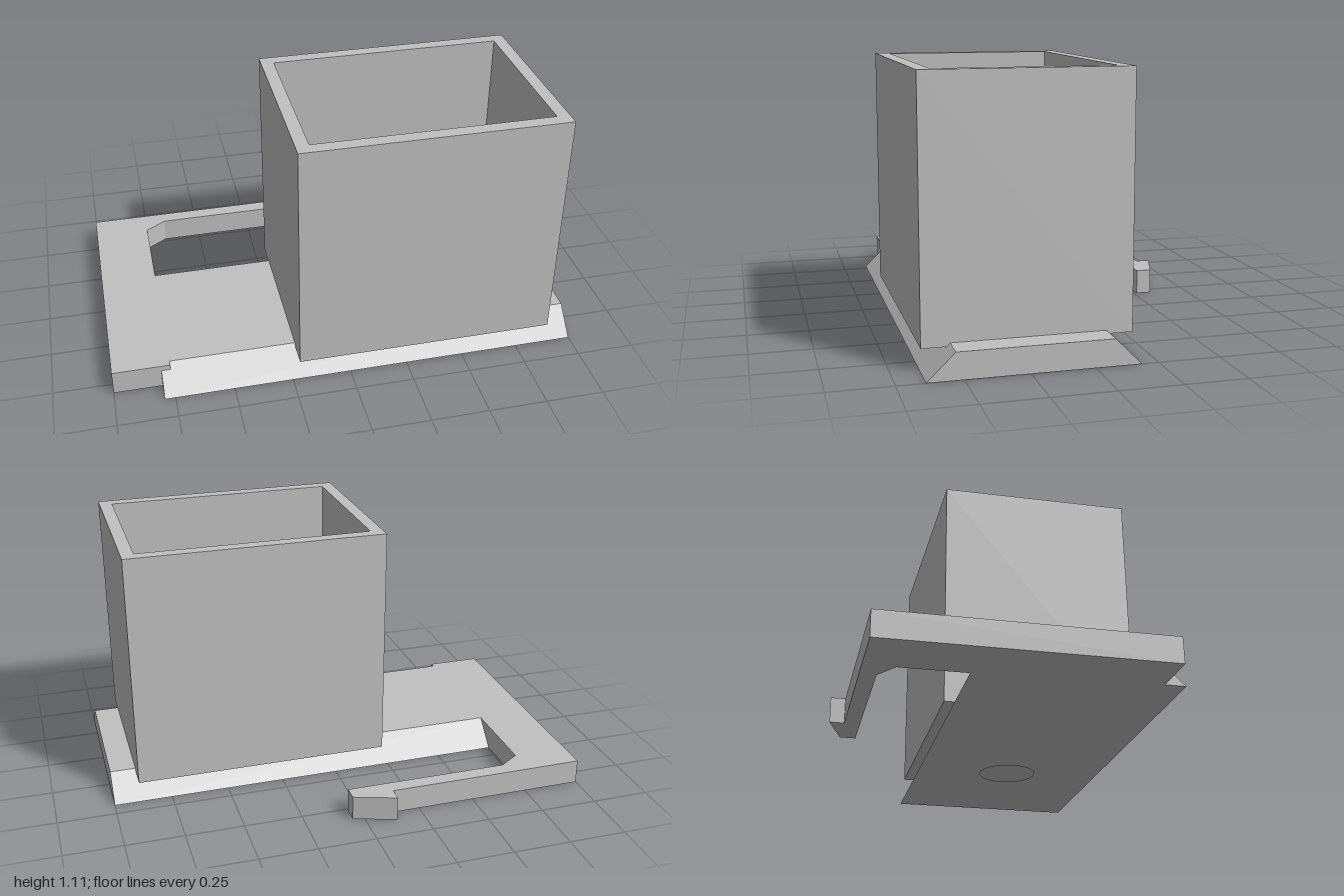
import * as THREE from 'three';

const grey = new THREE.MeshStandardMaterial({ color: 0xc0c0c0 });
grey.name = 'light grey';

// Shape from plan points [x, z]
const plan = (pts) => new THREE.Shape(pts.map(([x, z]) => new THREE.Vector2(x, -z)));
const rect = (x0, x1, z0, z1) => [[x0, z0], [x0, z1], [x1, z1], [x1, z0]];

// Extrude a plan shape upwards from y0 to y1
function slab(name, shape, y0, y1) {
  const g = new THREE.ExtrudeGeometry(shape, { depth: y1 - y0, bevelEnabled: false, curveSegments: 32 });
  g.rotateX(-Math.PI / 2).translate(0, y0, 0);
  const m = new THREE.Mesh(g, grey);
  m.name = name;
  return m;
}

// Extrude a side profile of [z, y] points along x
function rail(name, pts, x0, x1) {
  const shape = new THREE.Shape(pts.map(([z, y]) => new THREE.Vector2(-z, y)));
  const g = new THREE.ExtrudeGeometry(shape, { depth: x1 - x0, bevelEnabled: false });
  g.rotateY(Math.PI / 2).translate(x0, 0, 0);
  const m = new THREE.Mesh(g, grey);
  m.name = name;
  return m;
}

export function createModel() {
  const model = new THREE.Group();
  model.name = 'slideInContainer';
  const T = 0.107;

  const drain = () => new THREE.Path().absarc(0.4, -0.227, 0.125, 0, Math.PI * 2, true);

  // Base plate with end stop and hooked spring arm
  const base = plan([
    [-1, -0.58], [-0.13, -0.58], [-0.13, -0.64], [0.05, -0.58], [0.05, -0.515],
    [-0.667, -0.515], [-0.757, -0.455], [-0.757, -0.077], [1, -0.077],
    [1, 0.53], [-0.757, 0.53], [-0.757, 0.555], [-1, 0.555],
  ]);
  base.holes.push(drain());
  model.add(slab('basePlateWithClip', base, 0, T));

  // Sloping dovetail edges
  model.add(rail('frontDovetail', [[0.53, 0], [0.64, 0], [0.53, T]], -0.795, 1));
  model.add(rail('backDovetail', [[-0.077, 0], [-0.077, T], [-0.183, 0]], -0.757, 1));

  // Open container: walls and floor
  const box = new THREE.Group();
  box.name = 'container';
  const inner = rect(-0.165, 0.835, -0.128, 0.583);
  const walls = plan(rect(-0.22, 0.89, -0.183, 0.64));
  walls.holes.push(plan(inner));
  box.add(slab('containerWalls', walls, 0.093, 1.113));
  const floor = plan(inner);
  floor.holes.push(drain());
  box.add(slab('containerFloor', floor, 0.093, 0.148));
  model.add(box);

  return model;
}
